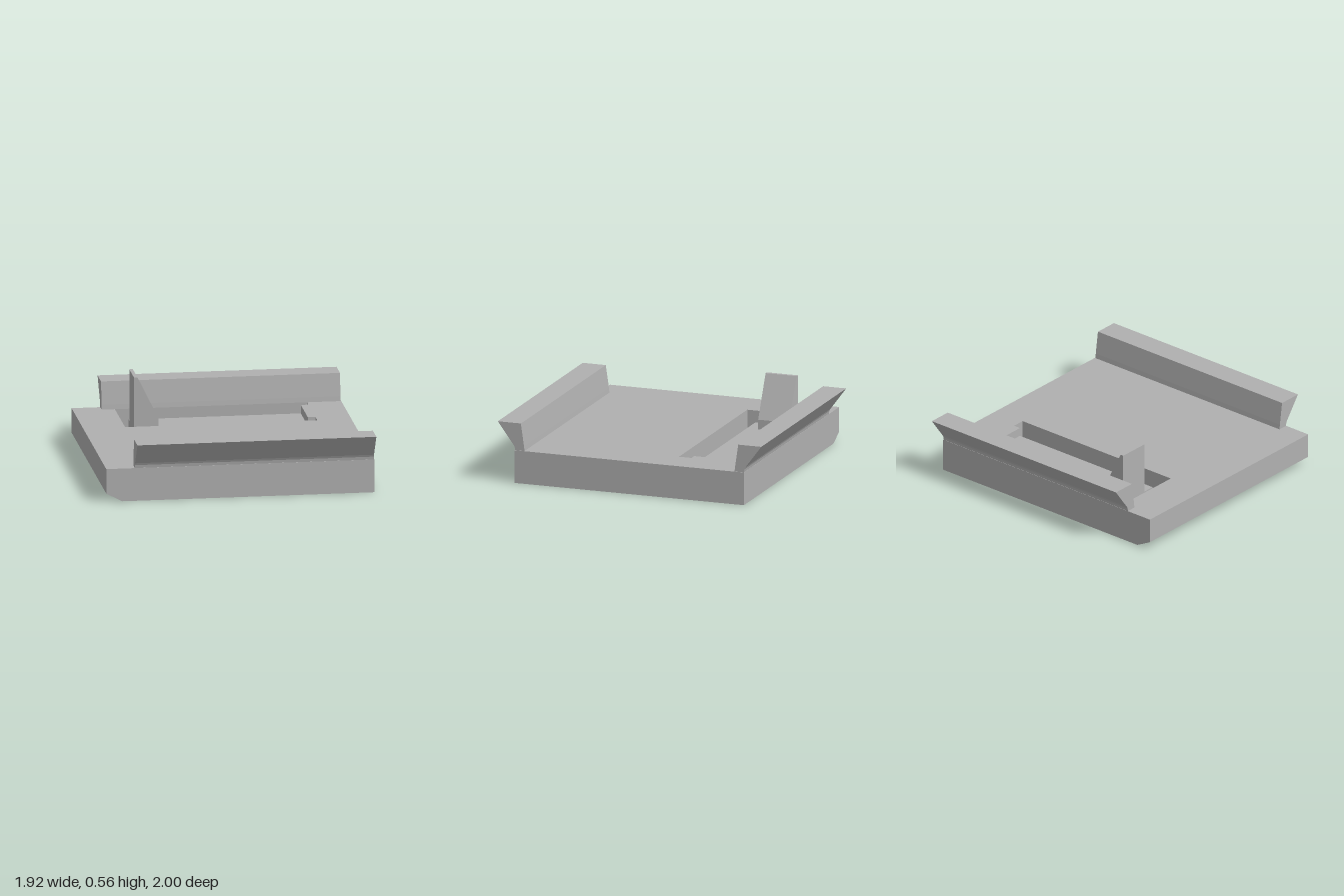
import * as THREE from 'three';

const grey = new THREE.MeshStandardMaterial({ color: 0xb0b0b0 });
grey.name = 'plain grey';

const shapeOf = (points) => new THREE.Shape(points.map(([x, y]) => new THREE.Vector2(x, y)));
const extrude = (shape, depth) => new THREE.ExtrudeGeometry(shape, { depth, bevelEnabled: false });

export function createModel() {
  const model = new THREE.Group();
  model.name = 'clipOnBasePlate';
  const add = (name, geometry) => {
    const mesh = new THREE.Mesh(geometry, grey);
    mesh.name = name;
    model.add(mesh);
    return mesh;
  };

  const height = 0.24, halfDepth = 0.87, left = -0.965, right = 0.96, noseEnd = -0.85;

  // Slab with a slot cut around the spring tongue; plan points are (x, -z)
  const plan = shapeOf([[noseEnd, -halfDepth], [right, -halfDepth], [right, halfDepth], [noseEnd, halfDepth]]);
  plan.holes.push(shapeOf([
    [-0.665, 0.285], [-0.665, 0.8], [0.715, 0.8], [0.715, 0.73],
    [0.66, 0.73], [0.66, 0.38], [0.715, 0.38], [0.715, 0.285],
  ]));
  add('slab', extrude(plan, height).rotateX(-Math.PI / 2));

  // Edge of the slab, chamfered underneath
  const nose = shapeOf([[noseEnd, 0], [noseEnd, height], [left, height], [left, 0.06]]);
  add('chamferedEdge', extrude(nose, 2 * halfDepth).translate(0, 0, -halfDepth));

  // Spring tongue, level with the underside
  const tongueTop = 0.178;
  add('springTongue', new THREE.BoxGeometry(1.235, tongueTop, 0.35).translate(0.0425, tongueTop / 2, -0.555));

  // Wedge-shaped catch at the free end of the tongue
  const catchProfile = shapeOf([
    [-0.575, tongueTop], [-0.4, tongueTop], [-0.4, 0.25], [-0.55, 0.555], [-0.575, 0.555],
  ]);
  add('catch', extrude(catchProfile, 0.235).translate(0, 0, -0.702));

  // Two mirrored rails flaring outward
  for (const [name, side] of [['frontRail', 1], ['backRail', -1]]) {
    const profile = [[0.797, height], [0.868, height], [0.872, 0.262], [0.88, 0.278], [1, 0.44], [0.825, 0.44], [0.801, 0.275]];
    const shape = shapeOf(profile.map(([z, y]) => [-z * side, y]));
    add(name, extrude(shape, 1.715).rotateY(Math.PI / 2).translate(-0.76, 0, 0));
  }
  return model;
}
